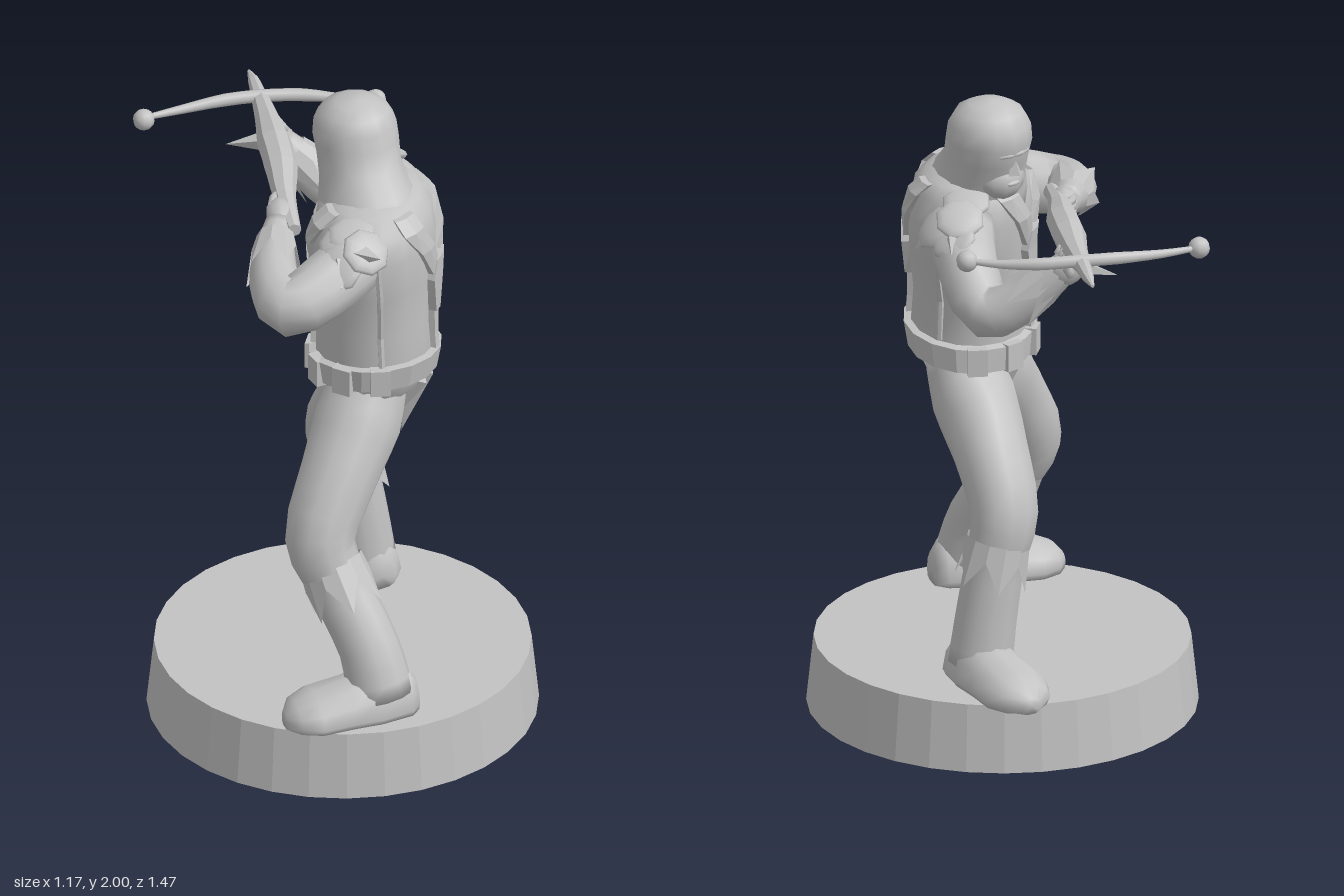
import * as THREE from 'three';

const grey = new THREE.MeshStandardMaterial({ color: 0xc2c2c2, side: THREE.DoubleSide });
grey.name = 'stone grey';
const V = (x, y, z) => new THREE.Vector3(x, y, z);
const UP = V(0, 1, 0);
const TAU = Math.PI * 2;

function add(parent, name, geo) {
  const m = new THREE.Mesh(geo, grey);
  m.name = name;
  parent.add(m);
  return m;
}

// Skin over a list of equal-length rings, with optional end caps.
function loft(rings, { closed = true, caps = true, flat = false } = {}) {
  const n = rings[0].length, pos = [], idx = [];
  rings.forEach(r => r.forEach(p => pos.push(p.x, p.y, p.z)));
  for (let k = 0; k < rings.length - 1; k++)
    for (let i = 0; i < (closed ? n : n - 1); i++) {
      const j = (i + 1) % n, a = k * n + i, b = k * n + j;
      idx.push(a, b, b + n, a, b + n, a + n);
    }
  if (caps) [0, rings.length - 1].forEach((k, end) => {
    const c = rings[k].reduce((s, p) => s.add(p), V(0, 0, 0)).divideScalar(n);
    const ci = pos.push(c.x, c.y, c.z) / 3 - 1;
    for (let i = 0; i < n; i++) {
      const a = k * n + i, b = k * n + (i + 1) % n;
      end ? idx.push(ci, a, b) : idx.push(ci, b, a);
    }
  });
  let g = new THREE.BufferGeometry();
  g.setAttribute('position', new THREE.Float32BufferAttribute(pos, 3));
  g.setIndex(idx);
  if (flat) g = g.toNonIndexed();
  g.computeVertexNormals();
  return g;
}

// Circle of n points around c, square to the direction t.
function ring(c, t, r, n, ref = UP) {
  const b = t.clone().cross(ref).normalize(), a = b.clone().cross(t);
  return Array.from({ length: n }, (_, i) => {
    const w = i / n * TAU;
    return c.clone().addScaledVector(a, r * Math.cos(w)).addScaledVector(b, r * Math.sin(w));
  });
}

// Limb through [x, y, z, radius] stations.
function limb(st, n = 12, flat = false) {
  const curve = new THREE.CatmullRomCurve3(st.map(s => V(s[0], s[1], s[2])));
  const steps = (st.length - 1) * 3;
  const ref = Math.abs(st[0][1] - st.at(-1)[1]) > 0.4 ? V(0.3, 0.2, 0.9) : UP;
  return loft(Array.from({ length: steps + 1 }, (_, k) => {
    const u = k / steps, f = u * (st.length - 1), i = Math.min(Math.floor(f), st.length - 2);
    const r = THREE.MathUtils.lerp(st[i][3], st[i + 1][3], f - i);
    return ring(curve.getPoint(u), curve.getTangent(u), r, n, ref);
  }), { flat });
}

// Ragged cuff: a flared band with a zigzag rim.
function cuff(p0, p1, r0, r1, points = 6) {
  const t = p1.clone().sub(p0).normalize(), n = points * 2, ref = V(0.3, 0.2, 0.9);
  const top = ring(p0, t, r0, n, ref), low = ring(p1, t, r1, n, ref);
  const rim = low.map((p, i) => i % 2 ? p : p.clone().lerp(top[i], 0.62));
  return loft([top, rim], { caps: false, flat: true });
}

function spike(parent, name, base, tip, r) {
  const d = tip.clone().sub(base);
  const m = add(parent, name, new THREE.ConeGeometry(r, d.length(), 4).toNonIndexed());
  m.geometry.computeVertexNormals();
  m.position.copy(base).addScaledVector(d, 0.5);
  m.quaternion.setFromUnitVectors(UP, d.normalize());
}

function blob(parent, name, p, s, normal = UP, seg = 10) {
  const m = add(parent, name, new THREE.SphereGeometry(1, seg, 8));
  m.scale.set(...s);
  m.position.copy(p);
  m.quaternion.setFromUnitVectors(UP, normal.clone().normalize());
}

// Torso profile: y, centre x, centre z, half width across shoulders, half depth.
const PROFILE = [
  [1.09, 0.09, 0.17, 0.13, 0.11], [1.14, 0.09, 0.17, 0.18, 0.165], [1.22, 0.09, 0.18, 0.19, 0.18],
  [1.35, 0.09, 0.17, 0.19, 0.175], [1.5, 0.1, 0.16, 0.23, 0.18], [1.62, 0.1, 0.15, 0.255, 0.185],
  [1.7, 0.1, 0.15, 0.235, 0.17], [1.74, 0.11, 0.14, 0.18, 0.13], [1.76, 0.11, 0.13, 0.1, 0.08]];
const BACK = V(0.82, 0, 0.57), ACROSS = V(0.57, 0, -0.82);

// Point on the torso; angle 0 is the middle of the back.
function onTorso(a, y, off = 0) {
  let i = 0;
  while (i < PROFILE.length - 2 && y > PROFILE[i + 1][0]) i++;
  const p = PROFILE[i], q = PROFILE[i + 1], f = (y - p[0]) / (q[0] - p[0]);
  const [cx, cz, w, d] = [1, 2, 3, 4].map(k => THREE.MathUtils.lerp(p[k], q[k], f));
  return V(cx, y, cz).addScaledVector(ACROSS, (w + off) * Math.sin(a)).addScaledVector(BACK, (d + off) * Math.cos(a));
}

// Raised strap following the torso through [angle, y, half angle] stations.
function strap(st, lift) {
  return loft(st.map(([a, y, h]) => [[-h, -0.01], [-h, lift], [0, lift + 0.004], [h, lift], [h, -0.01]]
    .map(([da, off]) => onTorso(a + da, y, off))), { flat: true });
}

// Flat-soled shoe along dir, from [distance, half width, height] stations.
function shoe(heel, dir, st) {
  const side = dir.clone().cross(UP);
  return loft(st.map(([d, w, h]) => Array.from({ length: 12 }, (_, i) => {
    const a = i / 12 * TAU, s = Math.sin(a);
    return heel.clone().addScaledVector(dir, d).addScaledVector(side, -w * Math.cos(a))
      .add(V(0, s < 0 ? 0.03 * (1 + s) * (1 + s) : 0.03 + (h - 0.03) * s, 0));
  }).reverse()));
}

export function createModel() {
  const root = new THREE.Group();
  root.name = 'crossbowFigure';

  // Base
  const baseGeo = new THREE.CylinderGeometry(0.565, 0.587, 0.21, 32).toNonIndexed();
  baseGeo.computeVertexNormals();
  add(root, 'base', baseGeo).position.set(0, 0.105, 0.143);

  // Legs, shoes and ragged boot cuffs
  add(root, 'rearLeg', limb([[0.06, 1.15, 0.21, 0.12], [0.0, 1.03, 0.255, 0.135], [-0.09, 0.9, 0.32, 0.12],
    [-0.177, 0.73, 0.38, 0.108], [-0.145, 0.6, 0.43, 0.09], [-0.09, 0.42, 0.54, 0.092], [-0.07, 0.27, 0.585, 0.102]]));
  add(root, 'frontLeg', limb([[0.14, 1.15, 0.14, 0.11], [0.13, 1.03, 0.06, 0.13], [0.125, 0.9, -0.06, 0.115],
    [0.125, 0.74, -0.165, 0.105], [0.155, 0.6, -0.17, 0.09], [0.185, 0.42, -0.17, 0.095], [0.205, 0.27, -0.17, 0.1]]));
  const sole = [[0, 0.05, 0.1], [0.03, 0.085, 0.14], [0.13, 0.105, 0.16], [0.22, 0.105, 0.13],
    [0.32, 0.112, 0.11], [0.38, 0.082, 0.085], [0.41, 0.03, 0.05]];
  add(root, 'rearShoe', shoe(V(0.04, 0.21, 0.585), V(-0.995, 0, -0.08).normalize(), sole));
  add(root, 'frontShoe', shoe(V(0.22, 0.21, -0.065), V(-0.13, 0, -1).normalize(), sole));
  add(root, 'rearBootCuff', cuff(V(-0.155, 0.655, 0.405), V(-0.125, 0.52, 0.475), 0.098, 0.112));
  add(root, 'frontBootCuff', cuff(V(0.145, 0.66, -0.17), V(0.175, 0.52, -0.17), 0.098, 0.112));

  // Torso
  add(root, 'torso', loft(PROFILE.map(p => Array.from({ length: 16 }, (_, i) => onTorso(i / 16 * TAU, p[0])))));

  // Belt with pouches, tilted down to the far side
  const tilt = p => p.setY(p.y + (p.z - 0.18) * 0.12);
  add(root, 'belt', loft([[1.155, 0], [1.16, 0.022], [1.235, 0.022], [1.24, 0]].map(([y, off]) =>
    Array.from({ length: 16 }, (_, i) => tilt(onTorso(i / 16 * TAU, y, off)))), { caps: false, flat: true }));
  for (const a of [1.9, 2.5, 3.14, 3.8, 4.4, 5.0]) {
    const p = tilt(onTorso(a, 1.197, 0.015));
    const m = add(root, 'beltPouch', new THREE.BoxGeometry(0.06, 0.085, 0.035));
    m.position.copy(p);
    m.lookAt(p.clone().addScaledVector(BACK, Math.cos(a)).addScaledVector(ACROSS, Math.sin(a)));
  }

  // Ragged cloth below the belt, front and back
  for (const [a, tipY] of [[-0.35, 1.02], [0, 0.94], [0.35, 1.03], [2.85, 1.03], [3.14, 0.95], [3.45, 1.01]]) {
    const top = onTorso(a, 1.17, -0.03);
    spike(root, 'clothTatter', top, V(top.x - Math.cos(a) * 0.05, tipY, top.z - Math.cos(a) * 0.03), 0.05);
  }

  // Harness on back and chest: two shoulder straps, a diamond plate and a tail
  for (const mid of [0, Math.PI]) {
    for (const s of [-1, 1])
      add(root, 'harnessStrap', strap([[mid + s * 0.1, 1.51, 0.13], [mid + s * 0.36, 1.62, 0.15],
        [mid + s * 0.6, 1.7, 0.19], [mid + s * 0.7, 1.735, 0.22]], 0.016));
    add(root, 'harnessPlate', strap([[mid, 1.38, 0.14], [mid, 1.5, 0.28], [mid, 1.56, 0.18]], 0.022));
    add(root, 'harnessTail', strap([[mid, 1.23, 0.12], [mid, 1.3, 0.12], [mid, 1.4, 0.14]], 0.014));
  }
  for (const a of [1.25, -1.25])
    add(root, 'sideSeam', strap([[a, 1.23, 0.05], [a, 1.36, 0.05], [a, 1.5, 0.05], [a, 1.62, 0.05]], 0.006));

  // Hooded head: y, centre z, half width, half depth
  add(root, 'hood', loft([[1.62, 0.155, 0.17, 0.195], [1.7, 0.13, 0.15, 0.185], [1.76, 0.09, 0.13, 0.165],
    [1.82, 0.045, 0.122, 0.145], [1.88, 0.022, 0.128, 0.137], [1.93, 0.018, 0.123, 0.13],
    [1.97, 0.02, 0.1, 0.103], [1.992, 0.02, 0.06, 0.06], [2.0, 0.02, 0.015, 0.015]].map(([y, z, rx, rz]) =>
    Array.from({ length: 14 }, (_, i) => V(0.095 + rx * Math.cos(i / 14 * TAU), y, z - rz * Math.sin(i / 14 * TAU))))));

  // Face, turned slightly towards the weapon
  const face = new THREE.Group();
  face.name = 'face';
  face.position.set(0.095, 0, 0.02);
  face.rotation.y = 0.3;
  root.add(face);
  blob(face, 'jaw', V(0, 1.765, -0.055), [0.075, 0.065, 0.062]);
  blob(face, 'brow', V(0, 1.862, -0.098), [0.07, 0.014, 0.034]);
  spike(face, 'nose', V(0, 1.795, -0.118), V(0, 1.87, -0.108), 0.024);
  blob(face, 'mouth', V(0, 1.765, -0.111), [0.026, 0.008, 0.01]);

  // Arms
  add(root, 'rearArm', limb([[0.0, 1.62, 0.28, 0.1], [-0.12, 1.585, 0.33, 0.1], [-0.265, 1.54, 0.35, 0.09],
    [-0.265, 1.57, 0.24, 0.078], [-0.2, 1.61, 0.1, 0.055], [-0.16, 1.63, 0.03, 0.042]]));
  add(root, 'frontArm', limb([[0.2, 1.62, -0.02, 0.1], [0.24, 1.57, -0.14, 0.095], [0.23, 1.45, -0.285, 0.08],
    [0.15, 1.5, -0.35, 0.07], [0.08, 1.575, -0.4, 0.056], [0.04, 1.62, -0.425, 0.047]]));
  add(root, 'rearGauntlet', cuff(V(-0.19, 1.615, 0.08), V(-0.265, 1.575, 0.23), 0.058, 0.092, 5));
  add(root, 'frontGauntlet', cuff(V(0.07, 1.59, -0.4), V(0.16, 1.49, -0.345), 0.058, 0.085, 5));

  // Hands with fingers curled round the stock
  blob(root, 'rearHand', V(-0.14, 1.64, 0.0), [0.045, 0.065, 0.045], V(0.3, 0.1, -1));
  blob(root, 'frontHand', V(0.035, 1.62, -0.43), [0.055, 0.065, 0.05], V(-0.6, 0.5, -0.2));
  for (let i = 0; i < 4; i++) {
    add(root, 'rearFinger', limb([[-0.16, 1.66 - i * 0.02, -0.02, 0.014], [-0.125, 1.665 - i * 0.02, -0.07, 0.013],
      [-0.08, 1.66 - i * 0.02, -0.06, 0.009]], 6));
    add(root, 'frontFinger', limb([[0.04, 1.61, -0.4 - i * 0.023, 0.014], [0.06, 1.65, -0.41 - i * 0.025, 0.013],
      [0.045, 1.685, -0.41 - i * 0.025, 0.009]], 6));
  }
  spike(root, 'gauntletPoint', V(0.0, 1.62, -0.44), V(-0.1, 1.6, -0.5), 0.03);

  // Layered shoulder plates
  const plates = [[-0.04, 1.71, 0.3, -0.2, 1, 0.25], [-0.08, 1.69, 0.31, -0.6, 1, 0.3], [-0.03, 1.69, 0.38, 0.1, 0.9, 0.8],
    [-0.11, 1.65, 0.37, -0.7, 0.8, 0.6], [0.2, 1.71, -0.05, 0.2, 1, -0.3], [0.25, 1.69, -0.12, 0.3, 1, -0.6],
    [0.3, 1.65, -0.06, 0.9, 0.8, 0], [0.28, 1.64, -0.14, 0.8, 0.8, -0.5]];
  for (const [x, y, z, a, b, c] of plates)
    blob(root, 'shoulderPlate', V(x, y, z), [0.075, 0.024, 0.075], V(a, b, c), 8);
  for (const s of [[V(-0.05, 1.69, 0.38), V(-0.01, 1.7, 0.45)], [V(-0.1, 1.66, 0.36), V(-0.13, 1.61, 0.43)],
    [V(0.28, 1.65, -0.02), V(0.34, 1.56, 0.01)], [V(0.28, 1.64, -0.15), V(0.31, 1.57, -0.21)]])
    spike(root, 'shoulderPoint', ...s, 0.035);

  // Crossbow: stock, arms, end knobs and trigger
  add(root, 'crossbowStock', limb([[-0.14, 1.64, 0.1, 0.022], [-0.1, 1.655, -0.06, 0.034], [-0.05, 1.67, -0.2, 0.05],
    [-0.015, 1.677, -0.33, 0.052], [0.02, 1.68, -0.46, 0.038], [0.052, 1.685, -0.6, 0.024],
    [0.068, 1.685, -0.67, 0.018], [0.08, 1.682, -0.735, 0.005]], 8, true));
  add(root, 'crossbowArms', limb([[-0.33, 1.69, -0.6, 0.008], [-0.2, 1.69, -0.6, 0.014], [-0.06, 1.695, -0.59, 0.02],
    [0.06, 1.695, -0.565, 0.02], [0.17, 1.69, -0.53, 0.02], [0.27, 1.685, -0.475, 0.014], [0.36, 1.69, -0.42, 0.008]], 8));
  for (const p of [V(-0.325, 1.688, -0.595), V(0.355, 1.688, -0.42)])
    blob(root, 'crossbowKnob', p, [0.033, 0.033, 0.033]);
  spike(root, 'trigger', V(-0.08, 1.64, -0.12), V(-0.1, 1.57, -0.09), 0.018);
  return root;
}
